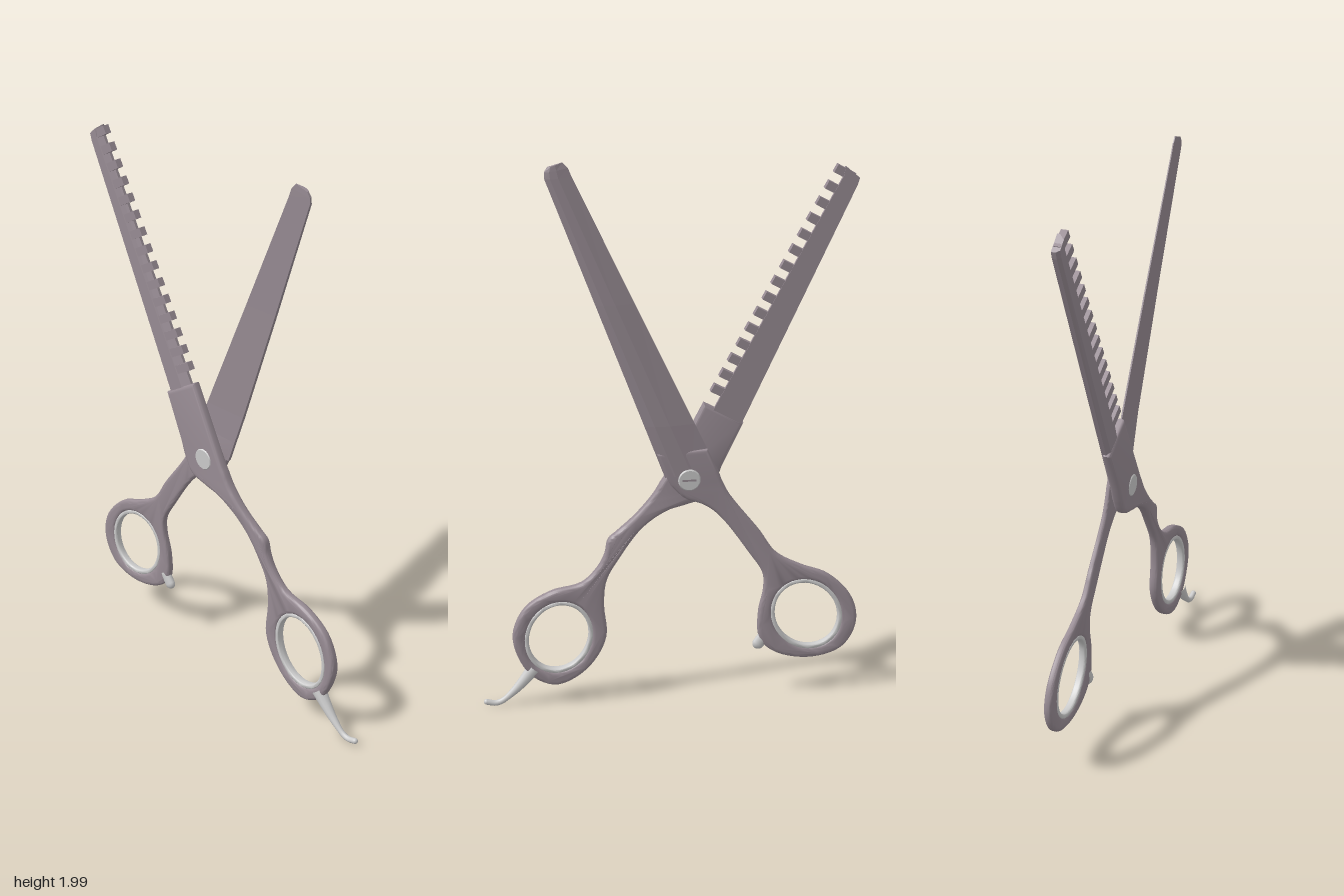
import * as THREE from 'three';
import { toCreasedNormals } from 'three/addons/utils/BufferGeometryUtils.js';

const steel = new THREE.MeshStandardMaterial({ color: 0x988c94 });
const grey = new THREE.MeshStandardMaterial({ color: 0xcccccc });
const { lerp, smoothstep } = THREE.MathUtils;

function add(parent, name, geometry, material) {
  const mesh = new THREE.Mesh(geometry, material);
  mesh.name = name;
  parent.add(mesh);
  return mesh;
}

const vectors = (pairs) => pairs.map(([x, y]) => new THREE.Vector2(x, y));
const ellipse = ([x, y], a, b, angle) =>
  new THREE.EllipseCurve(x, y, a, b, 0, Math.PI * 2, false, angle).getPoints(48).slice(0, -1);

// Smooth open curve through a few points
const smooth = (pairs, n) =>
  new THREE.CatmullRomCurve3(pairs.map(([x, y]) => new THREE.Vector3(x, y, 0)))
    .getPoints(n).map((p) => new THREE.Vector2(p.x, p.y));

// Rounded plate; layer(x, y) gives [middle z, half thickness]
function plate(outline, hole, layer, bevel) {
  const shape = new THREE.Shape(outline);
  shape.holes.push(new THREE.Path(hole));
  const g = new THREE.ExtrudeGeometry(shape, {
    depth: 0.8, bevelThickness: 0.6, bevelSize: bevel, bevelOffset: -bevel, bevelSegments: 3,
  });
  const p = g.attributes.position;
  for (let i = 0; i < p.count; i++) {
    const [mid, half] = layer(p.getX(i), p.getY(i));
    p.setZ(i, mid + half * (p.getZ(i) - 0.4));
  }
  return toCreasedNormals(g, 0.7);
}

// Faceted loft; sections run counterclockwise in (x, z) and advance towards +y
function loft(sections) {
  const out = [];
  const n = sections[0].length;
  const tri = (a, b, c) => out.push(...a, ...b, ...c);
  for (let k = 0; k + 1 < sections.length; k++) {
    const s = sections[k], t = sections[k + 1];
    for (let i = 0; i < n; i++) {
      const j = (i + 1) % n;
      tri(s[i], t[i], s[j]);
      tri(s[j], t[i], t[j]);
    }
  }
  const first = sections[0], last = sections[sections.length - 1];
  for (let i = 1; i + 1 < n; i++) {
    tri(first[0], first[i], first[i + 1]);
    tri(last[0], last[i + 1], last[i]);
  }
  const g = new THREE.BufferGeometry();
  g.setAttribute('position', new THREE.Float32BufferAttribute(out, 3));
  g.computeVertexNormals();
  return g;
}

// Blade section between two edge points; profile holds [fraction across, z]
const section = (l, r, profile) =>
  profile.map(([u, z]) => [lerp(l[0], r[0], u), lerp(l[1], r[1], u), z]);

// Handle with a finger hole and its lining ring
function addHandle(parent, hub, curve, hole, layer) {
  const [centre, a, b, angle] = hole;
  const outline = [...vectors(hub), ...smooth(curve, 110)];
  add(parent, 'handle', plate(outline, ellipse(centre, a, b, angle), layer, 0.014), steel);
  const thin = (x, y) => { const [m, h] = layer(x, y); return [m, h * 0.85]; };
  add(parent, 'fingerRing',
    plate(ellipse(centre, a + 0.004, b + 0.004, angle), ellipse(centre, a - 0.013, b - 0.013, angle), thin, 0.004), grey);
}

function thinningHalf() {
  const g = new THREE.Group();
  g.name = 'toothedHalf';
  const layer = (x, y) => {
    const t = smoothstep(y, 0.58, 0.78);
    const top = smoothstep(y, 0.9, 1.14);
    return [lerp(0.006 + 0.03 * Math.max(0, x - 0.3), 0.0205 - 0.003 * top, t), lerp(0.017, 0.02 - 0.003 * top, t)];
  };
  addHandle(g, [[0.02, 0.865], [-0.12, 1.14], [-0.26, 1.06], [-0.185, 0.9]], [
    [-0.168, 0.85], [-0.13, 0.785], [-0.06, 0.76], [0.01, 0.74], [0.1, 0.68], [0.19, 0.56], [0.23, 0.485],
    [0.24, 0.39], [0.232, 0.27], [0.27, 0.18], [0.34, 0.11], [0.42, 0.08], [0.5, 0.115], [0.55, 0.19], [0.57, 0.285],
    [0.525, 0.39], [0.43, 0.452], [0.32, 0.48], [0.26, 0.54], [0.235, 0.59], [0.222, 0.643], [0.19, 0.67],
    [0.12, 0.73], [0.06, 0.8], [0.03, 0.85],
  ], [[0.405, 0.272], 0.141, 0.119, 1.85], layer);

  // Blade body, thinned towards the tooth roots
  const profile = [[0, 0.002], [1, 0.002], [1, 0.012], [0.7, 0.03], [0.14, 0.03], [0, 0.018]];
  add(g, 'toothedBlade', loft([
    [[-0.2, 0.945], [-0.11, 1.03]], [[-0.253, 1.06], [-0.155, 1.12]],
    [[-0.637, 1.895], [-0.59, 1.93]], [[-0.645, 1.92], [-0.595, 1.962]],
  ].map(([l, r]) => section(l, r, profile))), steel);

  // Row of teeth along the cutting edge
  const angle = Math.atan2(0.455, 0.83);
  const count = 15;
  for (let i = 1; i <= count; i++) {
    const t = i / count;
    const length = lerp(0.085, 0.07, t);
    const tooth = add(g, 'tooth', new THREE.BoxGeometry(length, 0.03, 0.024), steel);
    tooth.rotation.z = angle;
    tooth.position.set(
      lerp(-0.12, -0.563, t) - Math.cos(angle) * length / 2,
      lerp(1.14, 1.955, t) - Math.sin(angle) * length / 2, 0.016);
  }

  // Tapered little-finger rest
  const path = new THREE.CatmullRomCurve3([[0.495, 0.15], [0.53, 0.105], [0.57, 0.06], [0.615, 0.022], [0.64, 0.015], [0.672, 0.022]]
    .map(([x, y]) => new THREE.Vector3(x, y, 0.014)));
  const tube = new THREE.TubeGeometry(path, 24, 0.026, 12);
  const p = tube.attributes.position, v = new THREE.Vector3();
  for (let i = 0; i < p.count; i++) {
    const u = Math.floor(i / 13) / 24;
    const c = path.getPointAt(u);
    v.fromBufferAttribute(p, i).sub(c).multiplyScalar(lerp(1, 0.4, Math.min(1, u * 1.5))).add(c);
    p.setXYZ(i, v.x, v.y, v.z);
  }
  add(g, 'fingerRest', tube, grey);
  const end = add(g, 'fingerRestTip', new THREE.SphereGeometry(0.0105, 12, 8), grey);
  end.position.set(0.672, 0.022, 0.014);
  return g;
}

function plainHalf() {
  const g = new THREE.Group();
  g.name = 'plainHalf';
  const layer = (x, y) => {
    const t = smoothstep(y, 0.2, 0.85);
    return [lerp(-0.028, -0.0105, t), lerp(0.0155, 0.01, t)];
  };
  addHandle(g, [[0.015, 0.875], [0.05, 0.965], [-0.13, 0.975], [-0.17, 0.89]], [
    [-0.18, 0.86], [-0.21, 0.8], [-0.32, 0.655], [-0.38, 0.568], [-0.47, 0.515], [-0.575, 0.47], [-0.665, 0.37],
    [-0.68, 0.27], [-0.63, 0.18], [-0.52, 0.145], [-0.39, 0.17], [-0.325, 0.23], [-0.318, 0.335],
    [-0.336, 0.43], [-0.332, 0.49], [-0.28, 0.575], [-0.175, 0.72], [-0.12, 0.765], [-0.05, 0.795], [0, 0.845],
  ], [[-0.495, 0.32], 0.143, 0.123, 0.95], layer);

  // Smooth-edged blade: flat inside, ridged outside, leaning forward to the tip
  add(g, 'plainBlade', loft([
    [[-0.165, 0.9], [0.02, 0.875], -0.001, 0.021], [[-0.085, 1.07], [0.092, 1.07], -0.001, 0.021],
    [[0.12, 1.51], [0.255, 1.51], 0.014, 0.02], [[0.325, 1.95], [0.416, 1.945], 0.031, 0.016],
    [[0.337, 1.98], [0.416, 1.968], 0.032, 0.015], [[0.355, 1.999], [0.405, 1.985], 0.032, 0.013],
  ].map(([l, r, z, d]) => section(l, r, [[0, z - 0.25 * d], [0.5, z - d], [0.8, z - d], [1, z - 0.55 * d], [1, z], [0, z]]))), steel);

  // Rubber stop on the finger hole
  const stop = add(g, 'bumper', new THREE.CapsuleGeometry(0.022, 0.04, 6, 16), grey);
  stop.position.set(-0.332, 0.226, -0.026);
  stop.rotation.z = 0.6;
  stop.scale.z = 0.7;
  return g;
}

// Pivot screw: a shaft through both halves with a slotted back
function pivot() {
  const g = new THREE.Group();
  g.name = 'pivotScrew';
  const profile = vectors([[0, -0.026], [0.036, -0.026], [0.04, -0.022], [0.04, 0.039], [0.036, 0.043], [0, 0.043]]);
  const screw = add(g, 'screw', toCreasedNormals(new THREE.LatheGeometry(profile, 32), 0.5), grey);
  screw.rotation.x = Math.PI / 2;
  const slot = add(g, 'screwSlot', new THREE.BoxGeometry(0.05, 0.007, 0.002), steel);
  slot.position.z = -0.026;
  g.position.set(-0.065, 0.865, 0);
  return g;
}

export function createModel() {
  const model = new THREE.Group();
  model.name = 'thinningScissors';
  model.add(thinningHalf(), plainHalf(), pivot());
  return model;
}
